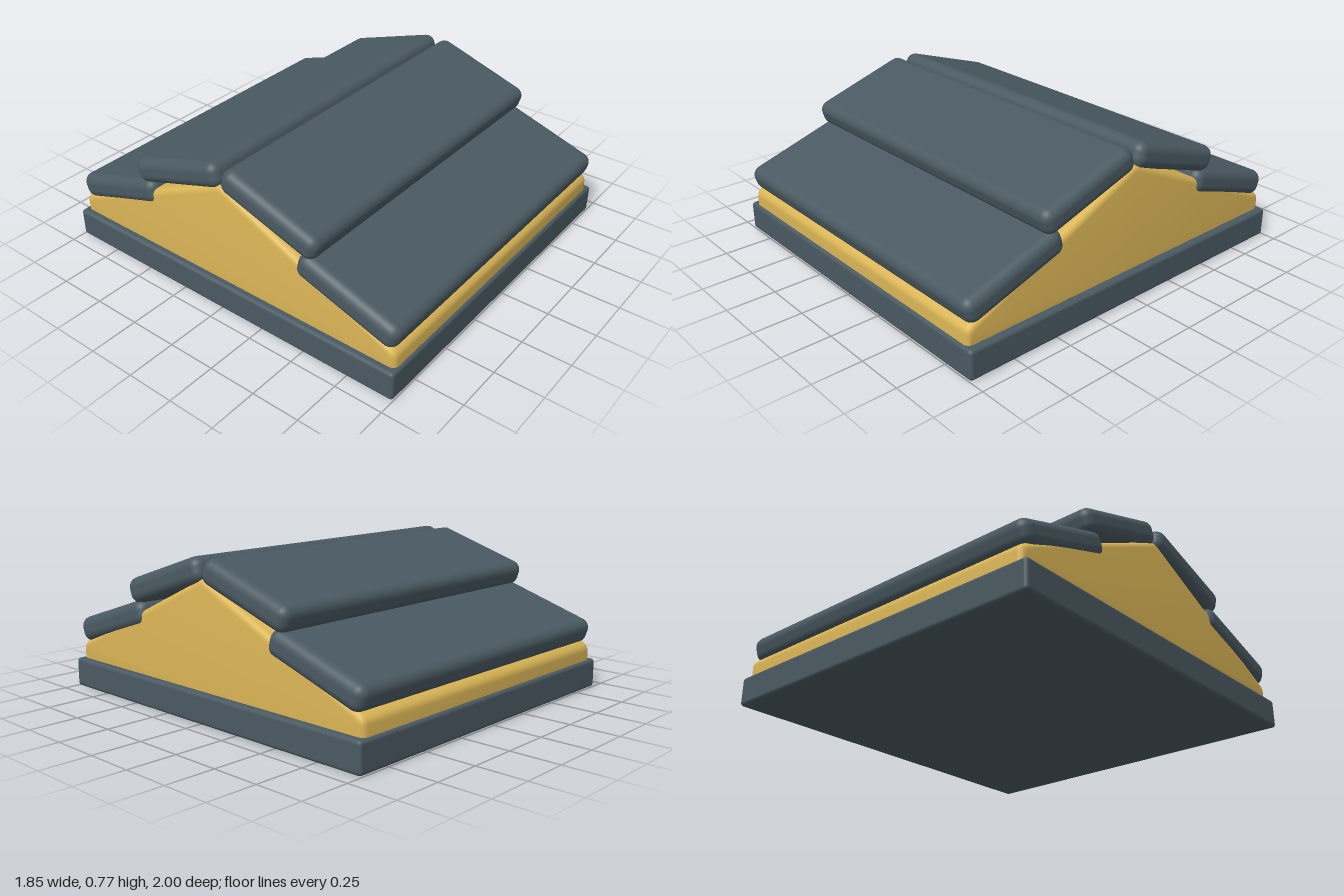
import * as THREE from 'three';
import { RoundedBoxGeometry } from 'three/addons/geometries/RoundedBoxGeometry.js';
import { toCreasedNormals } from 'three/addons/utils/BufferGeometryUtils.js';

export function createModel() {
  const group = new THREE.Group();
  const slate = new THREE.MeshStandardMaterial({ color: 0x4a5a62 });
  slate.name = 'slate';
  const gold = new THREE.MeshStandardMaterial({ color: 0xdab556 });
  gold.name = 'gold';

  function add(name, geometry, material, y = 0, z = 0, tilt = 0) {
    const mesh = new THREE.Mesh(geometry, material);
    mesh.name = name;
    mesh.position.set(0, y, z);
    mesh.rotation.x = tilt;
    group.add(mesh);
  }

  // Flat plinth with slightly softened edges
  add('base', new RoundedBoxGeometry(1.85, 0.15, 2, 3, 0.018), slate, 0.075);

  // Gable body: a low triangular prism with rounded eaves
  const s = new THREE.Shape();
  s.moveTo(-0.985, 0.08);
  s.lineTo(0.985, 0.08);
  s.lineTo(0.985, 0.2);
  s.quadraticCurveTo(0.985, 0.235, 0.93, 0.255);
  s.lineTo(0.025, 0.67);
  s.quadraticCurveTo(0, 0.68, -0.025, 0.67);
  s.lineTo(-0.93, 0.255);
  s.quadraticCurveTo(-0.985, 0.235, -0.985, 0.2);
  s.closePath();
  const bevel = 0.03;
  const depth = 1.78 - 2 * bevel;
  const gable = new THREE.ExtrudeGeometry(s, {
    depth, curveSegments: 6, bevelEnabled: true, bevelSize: bevel,
    bevelThickness: bevel, bevelOffset: -bevel, bevelSegments: 4,
  });
  gable.translate(0, 0, -depth / 2).rotateY(-Math.PI / 2);
  add('gable', toCreasedNormals(gable, 0.7), gold);

  // Two overlapping padded roof panels on each slope
  const panel = new RoundedBoxGeometry(1.805, 0.13, 0.568, 5, 0.05);
  const tilt = Math.PI / 10;
  for (const side of [1, -1]) {
    const end = side > 0 ? 'front' : 'back';
    add(end + 'LowerRoofPanel', panel, slate, 0.377, side * 0.711 + 0.006, side * tilt);
    add(end + 'UpperRoofPanel', panel, slate, 0.635, side * 0.28 + 0.005, side * tilt);
  }
  return group;
}
